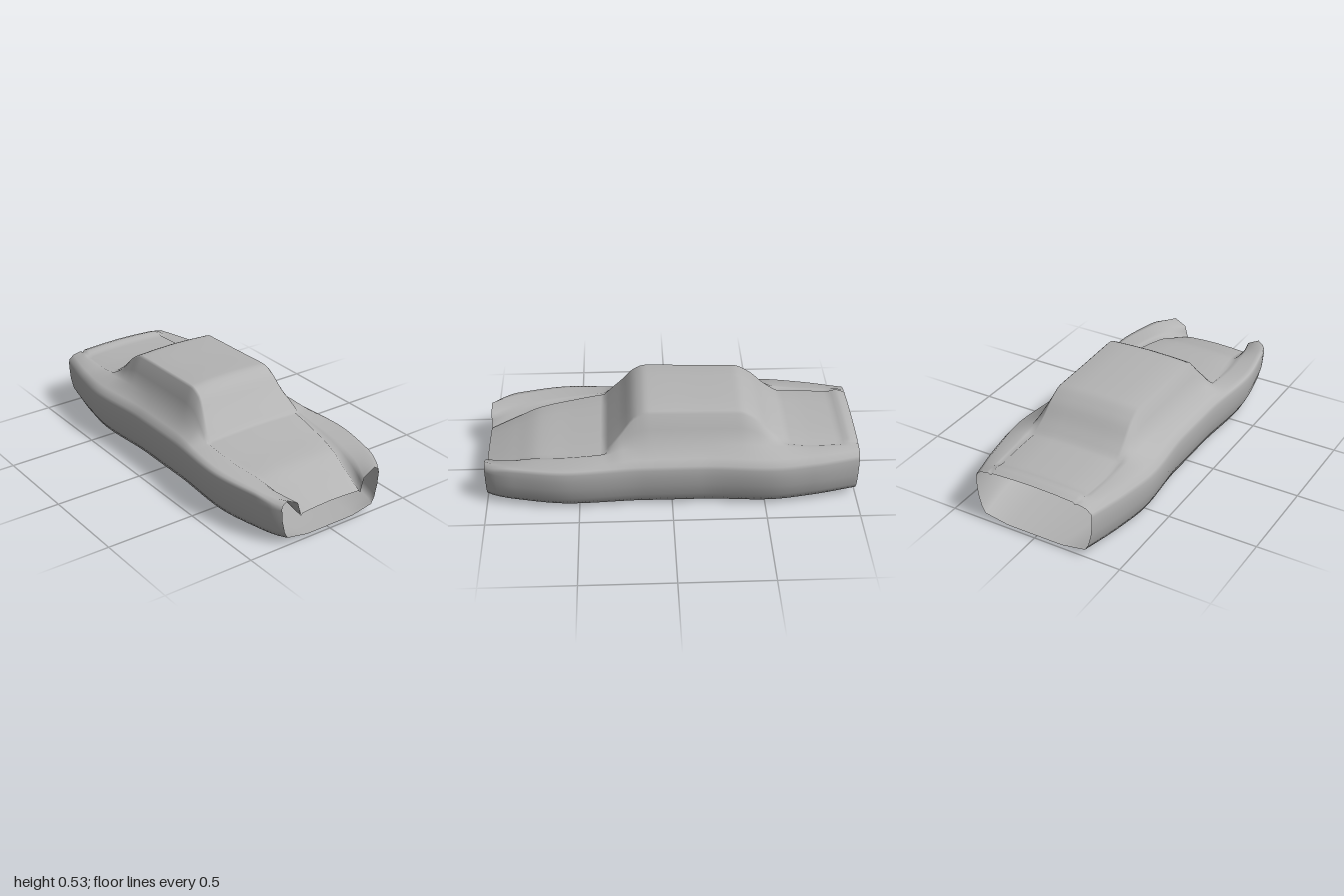
import * as THREE from 'three';

// Smooth curve through [z, value] points listed nose to tail; slopes are limited so flat runs stay flat
function track(...points) {
  const last = points.length - 1;
  const grad = (j) => (points[j + 1][1] - points[j][1]) / (points[j + 1][0] - points[j][0]);
  const slope = (j) => {
    if (j === 0) return grad(0);
    if (j === last) return grad(last - 1);
    const p = grad(j - 1), q = grad(j);
    return p * q <= 0 ? 0 : 2 * p * q / (p + q);
  };
  return (z) => {
    let i = 0;
    while (i < last - 1 && z < points[i + 1][0]) i++;
    const [z0, v0] = points[i], [z1, v1] = points[i + 1];
    const h = z1 - z0, t = (z - z0) / h;
    return v0 * (1 + 2 * t) * (1 - t) ** 2 + v1 * t * t * (3 - 2 * t)
      + h * t * (1 - t) * ((1 - t) * slope(i) - t * slope(i + 1));
  };
}

// Plan view: half width of the flanks, which swell over the wheels
const halfWidth = track([1, .315], [.95, .345], [.85, .377], [.55, .425], [.15, .4],
  [-.15, .4], [-.53, .43], [-.75, .402], [-1, .345]);
// Side view: shoulder, crest of the fenders, and belt line
const shoulderY = track([1, .235], [.85, .265], [.5, .27], [-1, .273]);
const crestY = track([1, .258], [.72, .273], [.36, .288], [.19, .302], [-.45, .308], [-1, .297]);
const beltX = track([1, .215], [.85, .27], [.55, .31], [-.53, .306], [-1, .28]);
const beltY = track([1, .222], [.85, .252], [.36, .296], [.27, .328], [.1, .345],
  [-.36, .345], [-.53, .334], [-.75, .308], [-1, .304]);
// Outer edge of the hood, roof and trunk lid
const topX = track([1, .19], [.85, .215], [.55, .27], [.36, .286], [.19, .243],
  [-.36, .238], [-.75, .26], [-1, .245]);
// Centre line over hood, windshield, roof, rear window and trunk lid
const hoodY = track([1, .163], [.85, .222], [.72, .266], [.55, .287], [.36, .312]);
const cabinY = track([.36, .312], [.27, .415], [.19, .508], [.13, .531], [-.1, .526],
  [-.36, .52], [-.45, .474], [-.53, .398], [-.61, .336]);
const trunkY = track([-.61, .336], [-.75, .326], [-.9, .323], [-.95, .336], [-1, .32]);
const centreY = (z) => (z > .36 ? hoodY(z) : z > -.61 ? cabinY(z) : trunkY(z));

// Closed cross-section: right half from floor to top centre, then its mirror image
function section(z) {
  const w = halfWidth(z), floor = .02 * z * z, sy = shoulderY(z);
  const bx = beltX(z), by = beltY(z), tx = topX(z), cy = centreY(z), ty = cy - .009;
  const half = [
    [0, floor], [.47 * w, floor], [.87 * w, floor + .024], [.93 * w, .08], [.98 * w, .15],
    [.995 * w, .21], [w, sy - .018], [.985 * w, sy + .003], [w - .032, crestY(z)], [bx, by],
    [(bx + tx) / 2 + .003, (by + ty) / 2], [tx + .004, ty - .012], [tx - .008, ty],
    [tx * .5, cy - .003], [0, cy],
  ];
  const mirror = half.slice(1, -1).reverse().map(([x, y]) => [-x, y]);
  return [...half, ...mirror];
}

// Skin lofted through the cross-sections, open at nose and tail
function bodyGeometry() {
  const steps = 100, positions = [], index = [];
  const count = section(0).length;
  for (let r = 0; r <= steps; r++) {
    const z = 1 - 2 * r / steps;
    section(z).forEach(([x, y]) => positions.push(x, y, z));
    if (r === steps) break;
    for (let k = 0; k < count; k++) {
      const a = r * count + k, b = r * count + (k + 1) % count;
      index.push(a, a + count, b, b, a + count, b + count);
    }
  }
  const g = new THREE.BufferGeometry();
  g.setAttribute('position', new THREE.Float32BufferAttribute(positions, 3));
  g.setIndex(index);
  g.computeVertexNormals();
  return g;
}

export function createModel() {
  const paint = new THREE.MeshStandardMaterial({ color: 0xb4b4b4, side: THREE.DoubleSide });
  paint.name = 'body grey';
  const body = new THREE.Mesh(bodyGeometry(), paint);
  body.name = 'carBodyShell';
  const car = new THREE.Group();
  car.name = 'car';
  car.add(body);
  return car;
}
